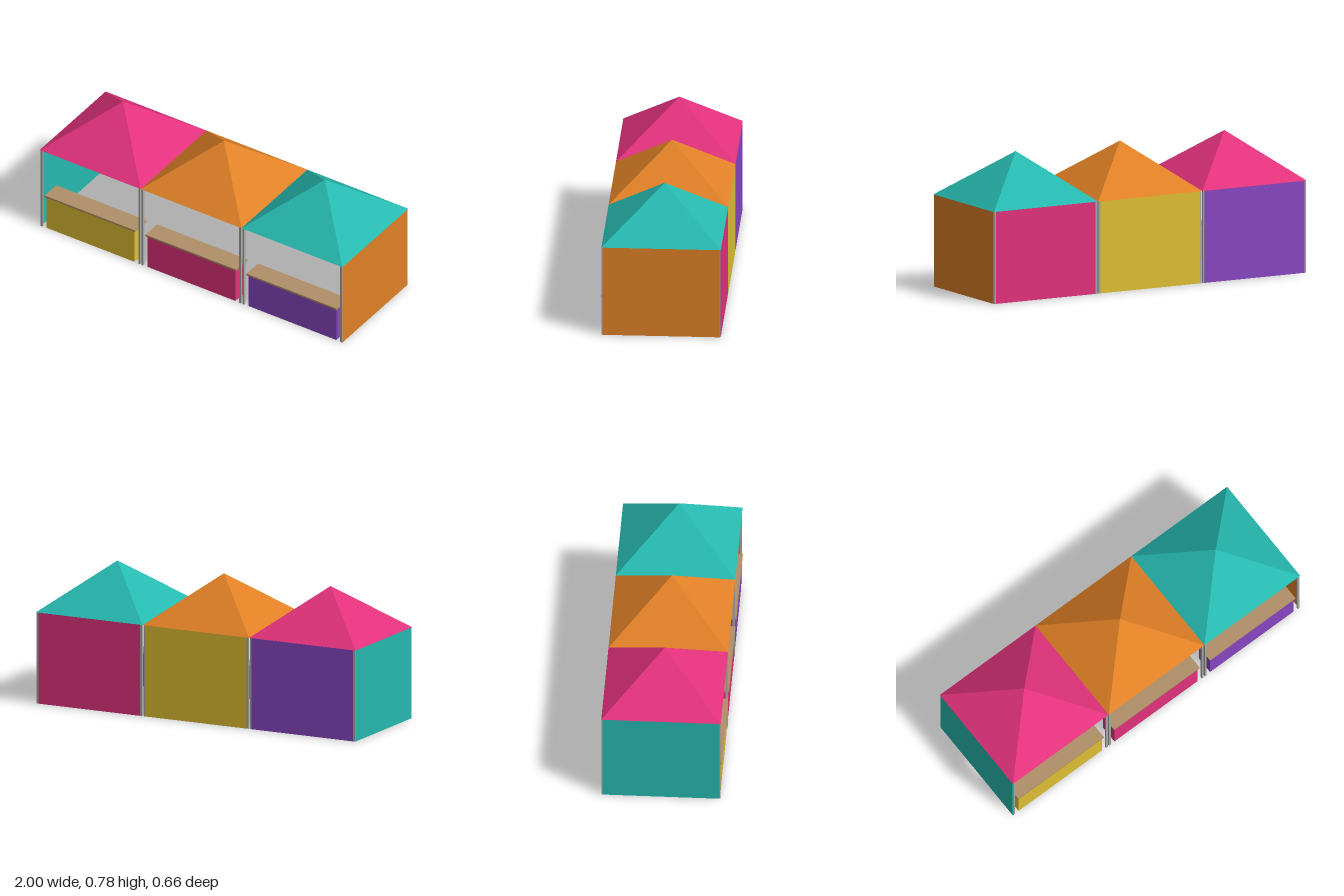
import * as THREE from 'three';

const mat = (name, color) => Object.assign(new THREE.MeshStandardMaterial({ color }), { name });

export function createModel() {
  const pink = mat('pink', 0xe2327c);
  const orange = mat('orange', 0xe08026);
  const teal = mat('teal', 0x26b8af);
  const yellow = mat('yellow', 0xdfbf34);
  const purple = mat('purple', 0x8846c2);
  const wood = mat('wood', 0xb09068);
  const metal = mat('metal', 0xa8a8a4);
  const white = mat('white', 0xe0e0dc);
  // the canopies are open cloth and show both sides
  [pink, orange, teal].forEach((m) => { m.side = THREE.DoubleSide; m.flatShading = true; });

  const EAVE = 0.515, PEAK = 0.778, HALF = 1 / 3, DEPTH = 0.33;

  // box given by its minimum and maximum corners
  function box(parent, name, material, [x0, y0, z0], [x1, y1, z1]) {
    const mesh = new THREE.Mesh(new THREE.BoxGeometry(x1 - x0, y1 - y0, z1 - z0), material);
    mesh.position.set((x0 + x1) / 2, (y0 + y1) / 2, (z0 + z1) / 2);
    mesh.name = name;
    parent.add(mesh);
  }

  function stall(name, x, roofMat, wallMat, counterMat) {
    const g = new THREE.Group();
    g.name = name;
    g.position.x = x;

    // four-sided canopy, open below
    const cone = new THREE.ConeGeometry(Math.SQRT2, PEAK - EAVE, 4, 1, true);
    cone.rotateY(Math.PI / 4).scale(HALF, 1, DEPTH);
    const roof = new THREE.Mesh(cone, roofMat);
    roof.name = 'canopy';
    roof.position.y = (EAVE + PEAK) / 2;
    g.add(roof);

    // corner posts
    for (const sx of [-1, 1]) for (const sz of [-1, 1]) {
      const px = sx * 0.323, pz = sz * 0.322;
      box(g, 'post', metal, [px - 0.006, 0, pz - 0.006], [px + 0.006, EAVE, pz + 0.006]);
    }

    // back wall with a blank board inside
    box(g, 'backWall', wallMat, [-0.318, 0, -0.329], [0.318, EAVE, -0.325]);
    box(g, 'backBoard', white, [-0.157, 0.29, -0.325], [0.157, 0.472, -0.322]);

    // counter: front panel, two short sides and a wooden top, open at the back
    const counter = new THREE.Group();
    counter.name = 'counter';
    box(counter, 'counterFront', counterMat, [-0.29, 0, 0.321], [0.29, 0.21, 0.325]);
    for (const s of [-1, 1]) {
      const c = s * 0.288;
      box(counter, 'counterSide', counterMat, [c - 0.002, 0, 0.223], [c + 0.002, 0.21, 0.321]);
    }
    box(counter, 'counterTop', wood, [-0.298, 0.21, 0.217], [0.298, 0.221, 0.333]);
    g.add(counter);
    return g;
  }

  const model = new THREE.Group();
  model.name = 'marketStalls';
  model.add(
    stall('rightStall', -2 / 3, pink, purple, yellow),
    stall('middleStall', 0, orange, yellow, pink),
    stall('leftStall', 2 / 3, teal, pink, purple),
  );

  // closed outer ends of the row
  box(model, 'rightEndWall', teal, [-0.998, 0, -0.324], [-0.994, EAVE, 0.324]);
  box(model, 'leftEndWall', orange, [0.994, 0, -0.324], [0.998, EAVE, 0.324]);
  return model;
}
